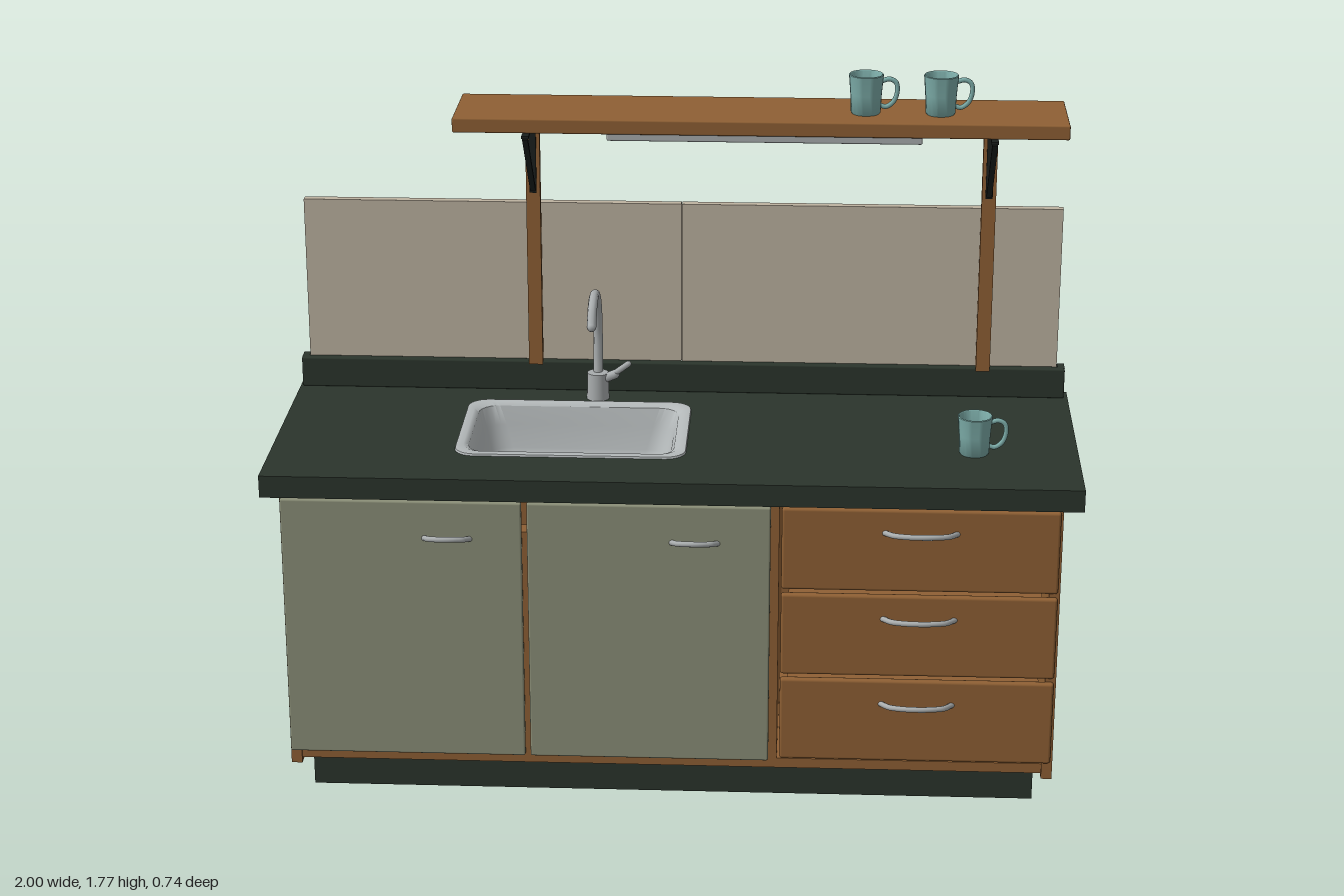
import * as THREE from 'three';
import { toCreasedNormals, mergeGeometries } from 'three/addons/utils/BufferGeometryUtils.js';
import { RoundedBoxGeometry } from 'three/addons/geometries/RoundedBoxGeometry.js';

const mat = (name, color, side = THREE.FrontSide) => {
  const m = new THREE.MeshStandardMaterial({ color, side });
  m.name = name;
  return m;
};

export function createModel() {
  const wood = mat('warm wood', 0x8f6034);
  const sage = mat('sage door paint', 0x8b8f78);
  const stone = mat('dark green stone', 0x2b352c);
  const tile = mat('beige panel', 0xbdb2a0);
  const steel = mat('brushed steel', 0xa9adae, THREE.DoubleSide);
  const sinkWhite = mat('pale sink', 0xb5babb, THREE.DoubleSide);
  const teal = mat('teal ceramic', 0x7cacA8, THREE.DoubleSide);
  const black = mat('black iron', 0x1b201e);

  const model = new THREE.Group();
  model.name = 'kitchenCounter';

  const add = (name, geo, material, parent = model) => {
    const m = new THREE.Mesh(geo, material);
    m.name = name;
    parent.add(m);
    return m;
  };
  // Box given by its extents on each axis, with optionally rounded edges
  const box = (name, material, [x0, x1], [y0, y1], [z0, z1], r = 0) => {
    const s = [x1 - x0, y1 - y0, z1 - z0];
    const g = r ? new RoundedBoxGeometry(...s, 2, r) : new THREE.BoxGeometry(...s);
    const m = add(name, g, material);
    m.position.set((x0 + x1) / 2, (y0 + y1) / 2, (z0 + z1) / 2);
    return m;
  };
  // Smooth tube through points, closed with round ends
  const tubeGeo = (pts, r, seg = 32) => {
    const v = pts.map(p => new THREE.Vector3(...p));
    const parts = [new THREE.TubeGeometry(new THREE.CatmullRomCurve3(v), seg, r, 10)];
    for (const p of [v[0], v[v.length - 1]]) {
      parts.push(new THREE.SphereGeometry(r, 10, 8).translate(p.x, p.y, p.z));
    }
    return mergeGeometries(parts);
  };
  // Outline of a rounded rectangle
  const outline = (hx, hz, r, n = 6) => {
    const pts = [];
    [[1, 1], [-1, 1], [-1, -1], [1, -1]].forEach(([sx, sz], q) => {
      for (let i = 0; i <= n; i++) {
        const a = (q + i / n) * Math.PI / 2;
        pts.push(new THREE.Vector2(sx * (hx - r) + r * Math.cos(a), sz * (hz - r) + r * Math.sin(a)));
      }
    });
    return pts;
  };

  // Cabinet carcass
  box('plinth', stone, [-0.915, 0.912], [0, 0.112], [-0.31, 0.207]);
  box('sidePanelRight', wood, [-0.957, -0.93], [0.1, 0.82], [-0.333, 0.292]);
  box('sidePanelLeft', wood, [0.926, 0.953], [0.1, 0.82], [-0.333, 0.292]);
  box('cabinetFloor', wood, [-0.93, 0.926], [0.112, 0.138], [-0.31, 0.285]);
  box('cabinetBack', wood, [-0.93, 0.926], [0.112, 0.82], [-0.322, -0.31]);
  box('doorDivider', wood, [-0.368, -0.342], [0.138, 0.74], [0.24, 0.288]);
  box('drawerDivider', wood, [0.24, 0.266], [0.138, 0.82], [-0.31, 0.288]);
  box('rearRail', wood, [-0.93, 0.926], [0.79, 0.832], [-0.32, -0.26]);

  // Curved bar handle, bulging forwards and slightly upwards
  const handle = (name, x, y, half, out) => {
    const pts = [];
    for (let i = 0; i <= 8; i++) {
      const t = i / 4 - 1;
      const bulge = Math.sqrt(Math.max(0, 1 - t * t));
      pts.push([x + half * t, y + 0.012 * bulge, 0.305 + out * bulge]);
    }
    add(name, tubeGeo(pts, 0.007), steel);
  };

  // Doors and drawers with their handles
  box('doorRight', sage, [-0.955, -0.363], [0.14, 0.822], [0.292, 0.307], 0.005);
  box('doorLeft', sage, [-0.35, 0.245], [0.14, 0.822], [0.292, 0.307], 0.005);
  handle('doorHandleRight', -0.546, 0.726, 0.056, 0.038);
  handle('doorHandleLeft', 0.06, 0.726, 0.056, 0.038);
  [[0.148, 0.367, 0.304], [0.38, 0.595, 0.534], [0.608, 0.822, 0.762]].forEach(([y0, y1, hy], i) => {
    box('drawerFront' + (i + 1), wood, [0.272, 0.947], [y0, y1], [0.287, 0.307], 0.007);
    box('drawerBox' + (i + 1), wood, [0.29, 0.915], [y0 + 0.02, y1 - 0.03], [-0.25, 0.29]);
    handle('drawerHandle' + (i + 1), 0.61, hy, 0.088, 0.056);
  });

  // Worktop with an opening for the sink
  const sx = -0.257, sz = -0.035;
  const top = new THREE.Shape([[-1, -0.37], [1, -0.37], [1, 0.323], [-1, 0.323]].map(p => new THREE.Vector2(...p)));
  top.holes.push(new THREE.Path(outline(0.262, 0.172, 0.05).map(p => new THREE.Vector2(p.x + sx, p.y + sz))));
  const topGeo = new THREE.ExtrudeGeometry(top, { depth: 0.056, bevelEnabled: false });
  add('worktop', topGeo.rotateX(Math.PI / 2), stone).position.y = 0.888;

  // Upstand and back panels
  box('upstand', stone, [-0.994, 0.99], [0.888, 0.967], [-0.347, -0.322], 0.004);
  for (const s of [-1, 1]) {
    box('upstandEnd', stone, [s * 0.983 - 0.011, s * 0.983 + 0.007], [0.888, 0.967], [-0.37, -0.33]);
  }
  box('backPanelRight', tile, [-0.975, -0.003], [0.888, 1.39], [-0.371, -0.347]);
  box('backPanelLeft', tile, [-0.001, 0.97], [0.888, 1.39], [-0.371, -0.347]);

  // Sink lofted from rounded rectangles: half width, half depth, height, corner radius
  const sections = [
    [0.288, 0.198, 0.886, 0.05], [0.286, 0.196, 0.893, 0.05], [0.268, 0.178, 0.894, 0.05],
    [0.256, 0.166, 0.887, 0.05], [0.244, 0.155, 0.84, 0.055], [0.232, 0.146, 0.78, 0.06],
    [0.224, 0.138, 0.76, 0.06], [0.205, 0.12, 0.75, 0.06], [0.002, 0.002, 0.748, 0.001],
  ];
  const pos = [], idx = [], n = 28;
  sections.forEach(([hx, hz, y, r], j) => {
    outline(hx, hz, r).forEach((p, i) => {
      pos.push(p.x + sx, y, p.y + sz);
      if (j === 0) return;
      const a = (j - 1) * n + i, b = (j - 1) * n + (i + 1) % n;
      idx.push(a, a + n, b, b, a + n, b + n);
    });
  });
  const sinkGeo = new THREE.BufferGeometry();
  sinkGeo.setAttribute('position', new THREE.Float32BufferAttribute(pos, 3));
  sinkGeo.setIndex(idx);
  add('sink', toCreasedNormals(sinkGeo, 0.8), sinkWhite);
  add('sinkDrain', new THREE.CylinderGeometry(0.032, 0.032, 0.006, 24), stone).position.set(sx, 0.752, sz);

  // Tap
  const tx = -0.215;
  add('tapBase', new THREE.CylinderGeometry(0.027, 0.029, 0.07, 24), steel).position.set(tx, 0.923, -0.27);
  add('tapSpout', tubeGeo([
    [tx, 0.95, -0.278], [tx, 1.0, -0.284], [tx, 1.07, -0.285], [tx, 1.14, -0.265], [tx, 1.185, -0.22],
    [tx, 1.2, -0.16], [tx, 1.188, -0.105], [tx, 1.15, -0.067],
  ], 0.012, 48), steel);
  add('tapLeverStem', tubeGeo([[tx, 0.935, -0.268], [tx + 0.045, 0.957, -0.26]], 0.012, 4), steel);
  add('tapLever', tubeGeo([[tx + 0.035, 0.952, -0.262], [tx + 0.08, 0.99, -0.248]], 0.008, 4), steel);

  // Raised shelf, its posts and iron brackets
  box('shelf', wood, [-0.56, 0.96], [1.633, 1.67], [-0.363, -0.12], 0.004);
  for (const x of [-0.38, 0.778]) {
    box('shelfPost', wood, [x - 0.018, x + 0.018], [0.96, 1.634], [-0.338, -0.318]);
    box('bracketUpright', black, [x - 0.009, x + 0.009], [1.425, 1.632], [-0.318, -0.313]);
    box('bracketTop', black, [x - 0.009, x + 0.009], [1.618, 1.624], [-0.318, -0.127]);
    const strut = add('bracketStrut', new THREE.BoxGeometry(0.014, 0.262, 0.008), black);
    strut.position.set(x, 1.525, -0.223);
    strut.rotation.x = Math.PI / 4;
  }
  box('shelfLight', steel, [-0.178, 0.6], [1.614, 1.634], [-0.16, -0.13], 0.004);

  // Mugs
  const profile = [[0, 0], [0.034, 0], [0.037, 0.004], [0.039, 0.05], [0.043, 0.098], [0.041, 0.1],
    [0.039, 0.098], [0.035, 0.05], [0.032, 0.01], [0, 0.008]].map(p => new THREE.Vector2(...p));
  const mugBody = toCreasedNormals(new THREE.LatheGeometry(profile, 28), 0.7);
  const mugHandle = tubeGeo([[0.038, 0.082, 0], [0.058, 0.087, 0], [0.074, 0.078, 0], [0.077, 0.055, 0],
    [0.068, 0.03, 0], [0.05, 0.017, 0], [0.036, 0.02, 0]], 0.006);
  [[0.46, 1.67, -0.22], [0.645, 1.67, -0.22], [0.742, 0.888, 0.083]].forEach((p, i) => {
    const mug = new THREE.Group();
    mug.name = 'mug' + (i + 1);
    mug.position.set(...p);
    add('mugBody', mugBody, teal, mug);
    add('mugHandle', mugHandle, teal, mug);
    model.add(mug);
  });

  return model;
}
